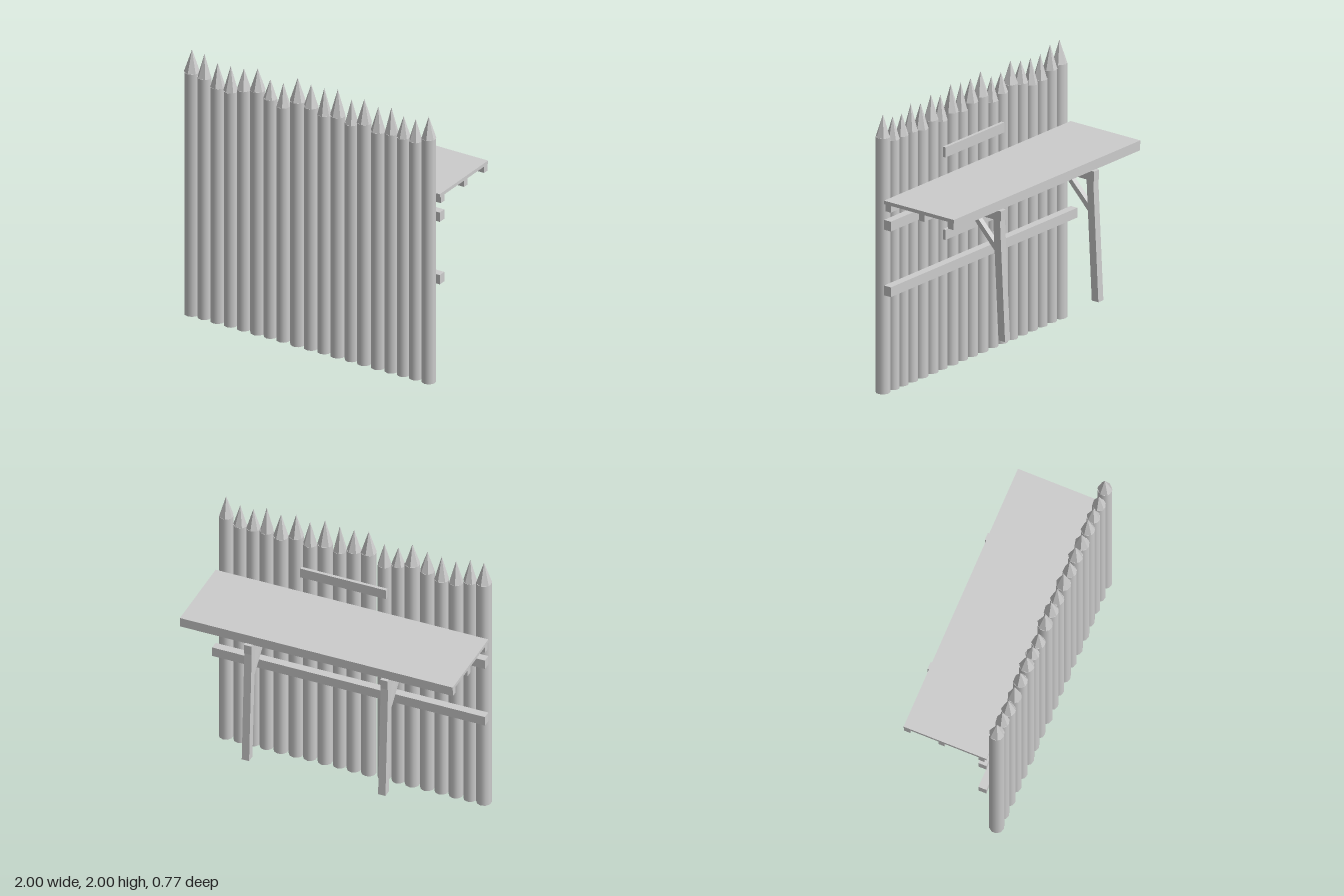
import * as THREE from 'three';

export function createModel() {
  const model = new THREE.Group();
  model.name = 'palisadeWall';
  const wood = new THREE.MeshStandardMaterial({ name: 'greyWood', color: 0xcccccc });

  const add = (geometry, name) => {
    const mesh = new THREE.Mesh(geometry, wood);
    mesh.name = name;
    model.add(mesh);
    return mesh;
  };

  // Box given by its min and max on each axis
  const box = (name, x0, x1, y0, y1, z0, z1) =>
    add(new THREE.BoxGeometry(x1 - x0, y1 - y0, z1 - z0), name)
      .position.set((x0 + x1) / 2, (y0 + y1) / 2, (z0 + z1) / 2);

  // Timber with a side profile of [z, y] points, extruded along x
  const timber = (name, points, width, x) => {
    const shape = new THREE.Shape(points.map(([z, y]) => new THREE.Vector2(z, y)));
    const geometry = new THREE.ExtrudeGeometry(shape, { depth: width, bevelEnabled: false });
    geometry.rotateY(-Math.PI / 2).translate(x + width / 2, 0, 0);
    add(geometry, name);
  };

  // Sharpened stakes: [x, shoulder height, tip height, radius]
  const stakes = [
    [-0.945, 1.82, 1.985, 0.053], [-0.845, 1.805, 1.98, 0.048], [-0.74, 1.765, 1.94, 0.05],
    [-0.635, 1.76, 1.945, 0.049], [-0.53, 1.8, 1.955, 0.05], [-0.42, 1.825, 1.985, 0.052],
    [-0.318, 1.79, 1.93, 0.047], [-0.215, 1.76, 1.93, 0.048], [-0.1, 1.83, 2, 0.053],
    [0.007, 1.815, 1.98, 0.051], [0.112, 1.785, 1.98, 0.048], [0.22, 1.805, 2, 0.052],
    [0.33, 1.775, 1.955, 0.048], [0.432, 1.81, 1.985, 0.051], [0.543, 1.775, 1.955, 0.052],
    [0.648, 1.79, 1.98, 0.048], [0.746, 1.785, 1.94, 0.047], [0.842, 1.785, 1.945, 0.047],
    [0.946, 1.83, 1.99, 0.05],
  ];
  stakes.forEach(([x, shoulder, tip, r], i) => {
    const log = add(new THREE.CylinderGeometry(r, r, shoulder, 10), 'stake');
    log.position.set(x, shoulder / 2, 0.331);

    // Faceted point, each one turned differently
    const cone = new THREE.ConeGeometry(r * 1.03, tip - shoulder, 6).toNonIndexed();
    cone.computeVertexNormals();
    const point = add(cone, 'stakePoint');
    point.position.set(x, (shoulder + tip) / 2, 0.331);
    point.rotation.y = i * 1.7;
  });

  // Rails behind the stakes
  for (const y of [0.72, 1.19]) box('rail', -1, 1, y, y + 0.07, 0.22, 0.278);

  // Short battens
  for (const y of [0.942, 1.533]) box('batten', -0.26, 0.37, y, y + 0.072, 0.255, 0.278);

  // Walkway deck and its lengthwise joists
  box('deck', -1, 1, 1.373, 1.398, -0.325, 0.278);
  for (const z of [0.22, -0.07, -0.32]) box('joist', -1, 1, 1.325, 1.373, z, z + 0.044);

  // Two support frames: beam, leaning leg and diagonal brace
  for (const x of [-0.505, 0.495]) {
    box('beam', x - 0.027, x + 0.027, 1.257, 1.327, -0.345, 0.278);
    timber('leg', [[-0.28, 1.257], [-0.338, 1.257], [-0.382, 0.4], [-0.325, 0.4]], 0.054, x);
    timber('brace', [[-0.067, 1.257], [-0.115, 1.257], [-0.3, 1.07], [-0.3, 1.017]], 0.04, x);
  }

  return model;
}
